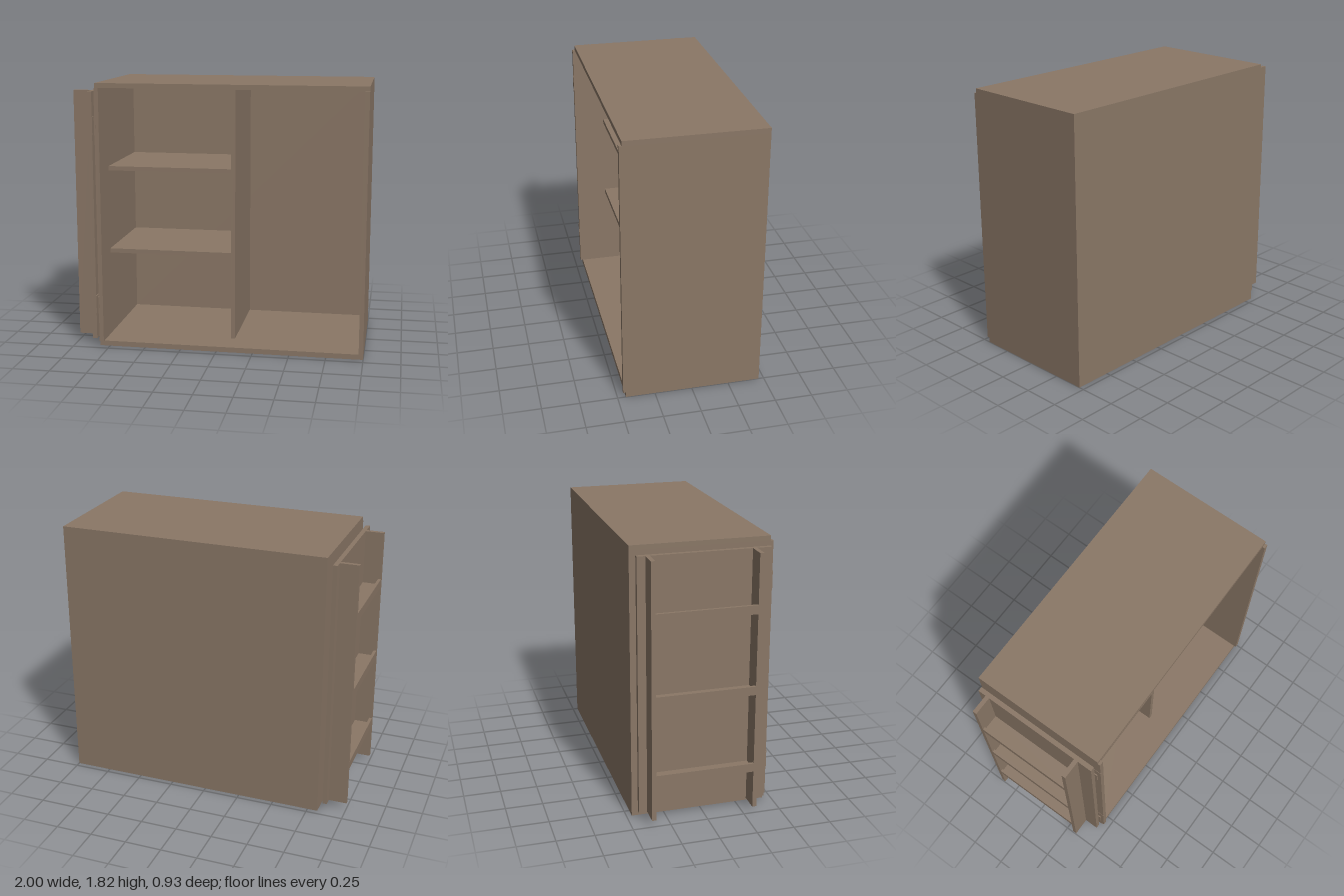
import * as THREE from 'three';

const wood = new THREE.MeshStandardMaterial({ color: 0x8a7766 });
wood.name = 'brown wood';

// Box given by its extents along each axis
function board(parent, name, [x0, x1], [y0, y1], [z0, z1]) {
  const mesh = new THREE.Mesh(new THREE.BoxGeometry(x1 - x0, y1 - y0, z1 - z0), wood);
  mesh.position.set((x0 + x1) / 2, (y0 + y1) / 2, (z0 + z1) / 2);
  mesh.name = name;
  parent.add(mesh);
}

export function createModel() {
  const model = new THREE.Group();
  model.name = 'cabinet';

  // Carcass: the side panels stand slightly proud of the top and bottom
  const carcass = new THREE.Group();
  carcass.name = 'carcass';
  const inner = [0.035, 1.79];
  board(carcass, 'bottomPanel', [-0.82, 1], [0, 0.035], [-0.465, 0.445]);
  board(carcass, 'topPanel', [-0.82, 1], [1.79, 1.822], [-0.465, 0.445]);
  board(carcass, 'rightPanel', [-0.82, -0.79], inner, [-0.465, 0.462]);
  board(carcass, 'leftPanel', [0.97, 1], inner, [-0.465, 0.462]);
  board(carcass, 'backPanel', [-0.79, 0.97], inner, [-0.465, -0.455]);

  // Recessed divider and shelves
  board(carcass, 'divider', [0.07, 0.1], inner, [-0.455, 0.25]);
  for (const y of [0.62, 1.205])
    board(carcass, 'shelf', [-0.79, 0.07], [y, y + 0.03], [-0.455, 0.25]);

  // Open door with a rack on its outer side
  const door = new THREE.Group();
  door.name = 'door';
  const doorHeight = [0.045, 1.765];
  board(door, 'doorPanel', [-0.875, -0.845], doorHeight, [-0.43, 0.435]);
  for (const z of [-0.375, 0.307])
    board(door, 'rackUpright', [-1, -0.875], doorHeight, [z, z + 0.028]);
  for (const y of [0.302, 0.84, 1.378]) {
    board(door, 'rackShelf', [-0.98, -0.875], [y, y + 0.02], [-0.347, 0.307]);
    board(door, 'rackLip', [-1, -0.98], [y, y + 0.058], [-0.347, 0.307]);
  }

  // Hinge plates on the door and on the cabinet side
  for (const y of [0.235, 1.475]) {
    board(door, 'doorHingePlate', [-0.845, -0.838], [y, y + 0.12], [0.275, 0.453]);
    board(carcass, 'cabinetHingePlate', [-0.822, -0.813], [y, y + 0.12], [0.28, 0.464]);
  }

  model.add(carcass, door);
  return model;
}
